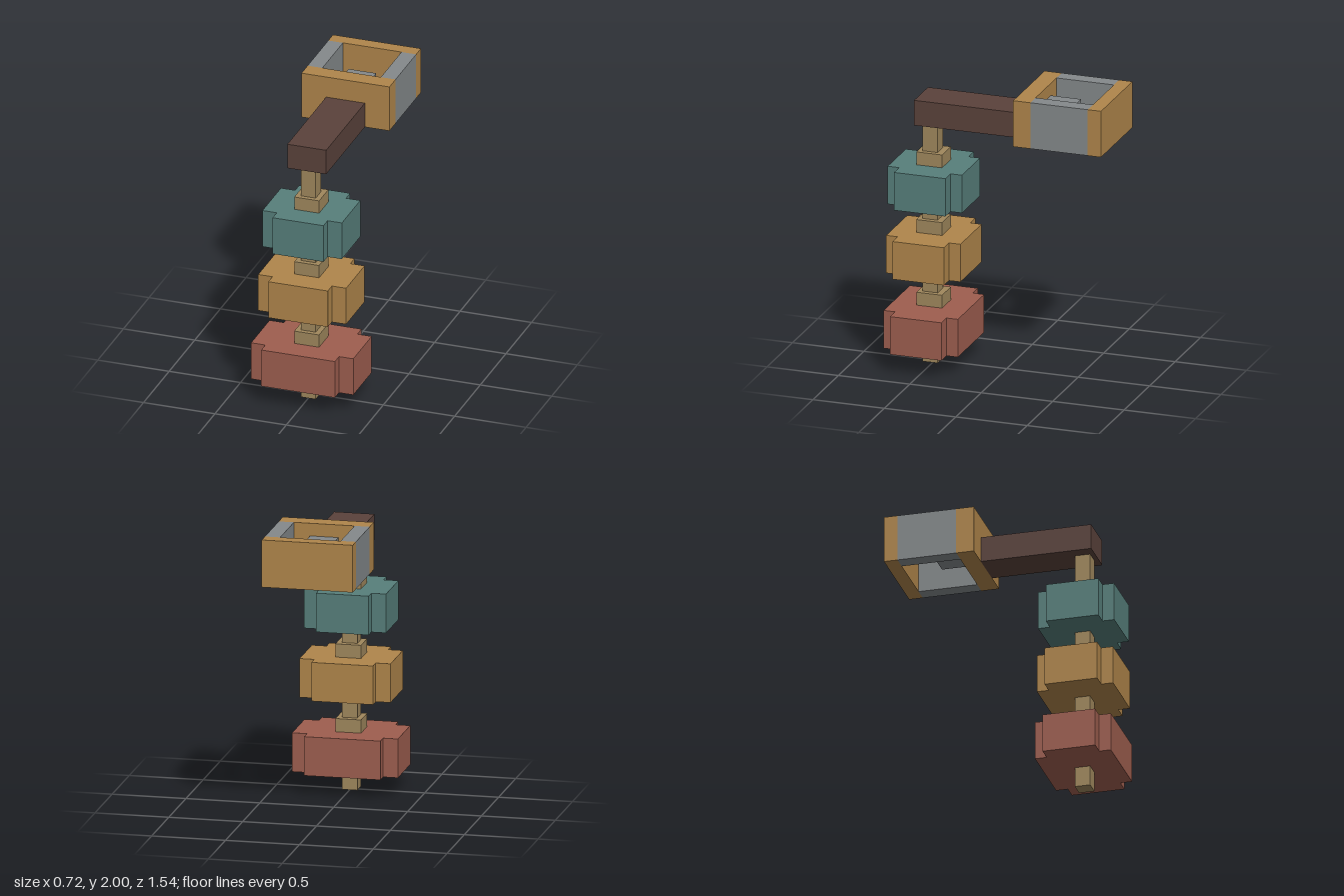
import * as THREE from 'three';

const mat = (name, color) => {
  const m = new THREE.MeshStandardMaterial({ color });
  m.name = name;
  return m;
};

export function createModel() {
  const model = new THREE.Group();
  model.name = 'model';
  const red = mat('clay red', 0x9e5e4f);
  const gold = mat('ochre', 0xb0864b);
  const teal = mat('teal', 0x577f7b);
  const tan = mat('tan wood', 0xa0885d);
  const brown = mat('dark brown', 0x5a423b);
  const grey = mat('grey metal', 0x84898b);

  // Box given by its extents on each axis
  const box = (name, material, [x0, x1], [y0, y1], [z0, z1], parent = model) => {
    const mesh = new THREE.Mesh(new THREE.BoxGeometry(x1 - x0, y1 - y0, z1 - z0), material);
    mesh.position.set((x0 + x1) / 2, (y0 + y1) / 2, (z0 + z1) / 2);
    mesh.name = name;
    parent.add(mesh);
  };

  // Block with a square notch in each corner
  const POST_Z = 0.51;
  const notchedBlock = (name, material, halfX, y0, y1) => {
    const X = halfX, x = halfX - 0.1, Z = 0.26, z = 0.18;
    const outline = [
      [X, -z], [X, z], [x, z], [x, Z], [-x, Z], [-x, z],
      [-X, z], [-X, -z], [-x, -z], [-x, -Z], [x, -Z], [x, -z],
    ].map(([a, b]) => new THREE.Vector2(a, b));
    const geo = new THREE.ExtrudeGeometry(new THREE.Shape(outline), { depth: y1 - y0, bevelEnabled: false });
    geo.rotateX(-Math.PI / 2);
    const mesh = new THREE.Mesh(geo, material);
    mesh.position.set(0, y0, POST_Z);
    mesh.name = name;
    model.add(mesh);
  };

  // Post with three stacked blocks, each topped by a collar
  box('post', tan, [-0.052, 0.052], [0, 1.68], [POST_Z - 0.045, POST_Z + 0.06]);
  const tiers = [
    ['lower', red, 0.358, 0.137, 0.402],
    ['middle', gold, 0.308, 0.647, 0.911],
    ['upper', teal, 0.278, 1.12, 1.385],
  ];
  for (const [level, material, halfX, y0, y1] of tiers) {
    notchedBlock(level + 'Block', material, halfX, y0, y1);
    box(level + 'Collar', tan, [-0.087, 0.087], [y1, y1 + 0.09], [POST_Z - 0.088, POST_Z + 0.092]);
  }

  // Arm reaching back from the top of the post
  box('arm', brown, [-0.136, 0.136], [1.678, 1.853], [-0.155, 0.6]);

  // Open rectangular frame at the end of the arm
  const frame = new THREE.Group();
  frame.name = 'frame';
  model.add(frame);
  const H = [1.678, 2];
  box('frameFront', gold, [-0.308, 0.308], H, [-0.275, -0.155], frame);
  box('frameBack', gold, [-0.308, 0.308], H, [-0.77, -0.677], frame);
  box('frameLeft', grey, [0.205, 0.308], H, [-0.677, -0.275], frame);
  box('frameRight', grey, [-0.308, -0.205], H, [-0.677, -0.275], frame);
  box('innerBlock', grey, [-0.096, 0.096], [1.765, 1.914], [-0.486, -0.275], frame);

  return model;
}
